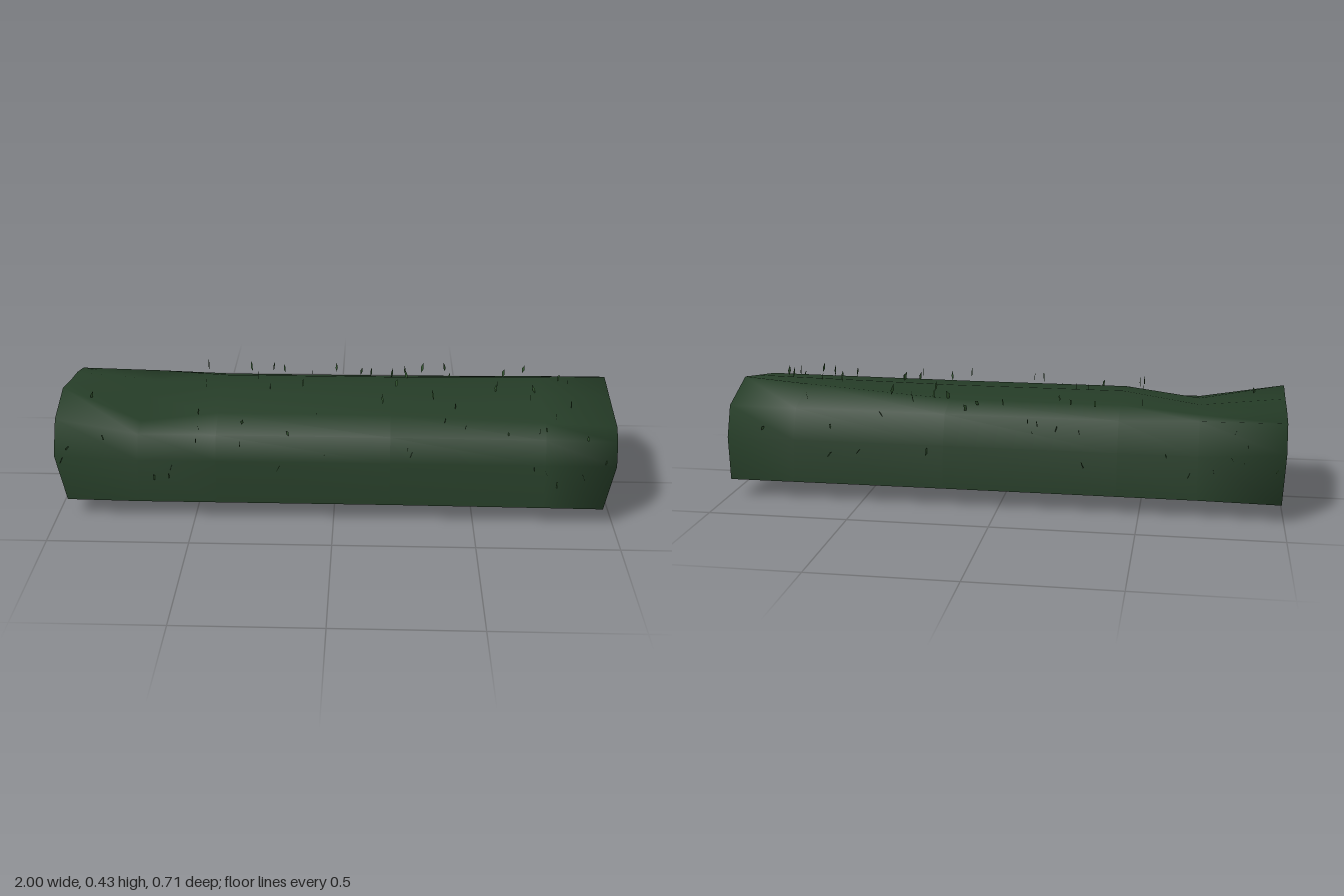
import * as THREE from 'three';

const foliage = new THREE.MeshStandardMaterial({ color: 0x253c27, side: THREE.DoubleSide });
foliage.name = 'hedge green';
const leafGreen = new THREE.MeshStandardMaterial({ color: 0x33552f, side: THREE.DoubleSide });
leafGreen.name = 'leaf green';
const bark = new THREE.MeshStandardMaterial({ color: 0x62544a });
bark.name = 'bark brown';

// Cross-sections as [z, y], running from the front foot over the top to the back foot
const leftEnd = [[0.33, 0.065], [0.3, 0.22], [0.275, 0.305], [0.235, 0.345], [0.06, 0.375], [-0.08, 0.4], [-0.25, 0.33], [-0.29, 0.22], [-0.305, 0.065]];
const middle = [[0.322, 0.065], [0.3, 0.22], [0.265, 0.305], [0.18, 0.353], [0, 0.377], [-0.15, 0.36], [-0.245, 0.325], [-0.285, 0.22], [-0.3, 0.065]];
const rightEnd = [[0.315, 0.065], [0.295, 0.23], [0.23, 0.345], [0.08, 0.4], [-0.04, 0.378], [-0.15, 0.365], [-0.25, 0.34], [-0.29, 0.24], [-0.31, 0.065]];

const blend = (a, b, t) => a.map(([z, y], j) => [z + (b[j][0] - z) * t, y + (b[j][1] - y) * t]);
const dip = middle.map(([z, y]) => [z, y > 0.31 ? 0.335 - Math.max(0, z) * 0.1 : y]);
const sections = [
  [-1, rightEnd], [-0.7, dip], [-0.42, middle], [0.2, middle],
  [0.75, blend(middle, leftEnd, 0.65)], [1, leftEnd],
].map(([x, profile]) => profile.map(([z, y], j) => {
  // the feet of both end walls are drawn in a little
  const inset = Math.abs(x) < 1 ? 0 : j === 0 ? 0.04 : j === 8 ? 0.01 : 0;
  return new THREE.Vector3(x - Math.sign(x) * inset, y, z);
}));

let seed = 7;
function random(min, max) {
  seed = (seed * 16807) % 2147483647;
  return min + (max - min) * (seed / 2147483647);
}

// Hollow shell with closed ends and an open underside
function hedgeShell() {
  const n = middle.length;
  const points = sections.flat();
  const index = [];
  for (let i = 0; i < sections.length - 1; i++) {
    for (let j = 0; j < n - 1; j++) {
      const a = i * n + j, b = a + n;
      index.push(a, b, a + 1, b, b + 1, a + 1);
    }
  }
  // end walls fan out from a centre point
  [0, sections.length - 1].forEach((i) => {
    const centre = points.length;
    points.push(new THREE.Vector3(i ? 0.995 : -0.995, 0.2, 0));
    for (let j = 0; j < n; j++) {
      const a = i * n + j, b = i * n + (j + 1) % n;
      if (i) index.push(centre, b, a);
      else index.push(centre, a, b);
    }
  });
  const geometry = new THREE.BufferGeometry().setFromPoints(points);
  geometry.setIndex(index);
  geometry.computeVertexNormals();
  const mesh = new THREE.Mesh(geometry, foliage);
  mesh.name = 'hedgeShell';
  return mesh;
}

// Loose diamond leaves standing out of the surface, mostly facing along the hedge
function leaves() {
  const group = new THREE.Group();
  group.name = 'leaves';
  const outline = new THREE.Shape([[0, 0], [0.011, 0.019], [0, 0.044], [-0.011, 0.021]].map(([x, y]) => new THREE.Vector2(x, y)));
  const geometry = new THREE.ShapeGeometry(outline);
  const axisX = new THREE.Vector3(1, 0, 0);
  for (let k = 0; k < 84; k++) {
    const x = random(-0.97, 0.97);
    const i = Math.max(0, sections.findIndex((s) => s[4].x > x) - 1);
    const j = k % 8;
    const u = (x - sections[i][4].x) / (sections[i + 1][4].x - sections[i][4].x);
    const low = sections[i][j].clone().lerp(sections[i + 1][j], u);
    const high = sections[i][j + 1].clone().lerp(sections[i + 1][j + 1], u);
    const v = j === 0 ? random(0.6, 1) : j === 7 ? random(0, 0.4) : random(0, 1);
    const out = high.clone().sub(low).cross(axisX).negate().normalize();
    const leaf = new THREE.Mesh(geometry, leafGreen);
    leaf.position.copy(low.lerp(high, v)).addScaledVector(out, random(-0.012, 0.022));
    // local y points outwards, local z along the hedge
    const side = new THREE.Vector3().crossVectors(out, axisX).normalize();
    leaf.quaternion.setFromRotationMatrix(new THREE.Matrix4().makeBasis(side, out, axisX));
    leaf.rotateY(random(-0.6, 0.6));
    leaf.rotateZ(random(-0.7, 0.7));
    leaf.scale.setScalar(random(0.75, 1.05));
    leaf.name = 'leaf';
    group.add(leaf);
  }
  return group;
}

// Thin tapered stems that carry the hedge
function stems() {
  const group = new THREE.Group();
  group.name = 'stems';
  const up = new THREE.Vector3(0, 1, 0);
  // foot x, foot z, lean in z
  [[-0.69, 0.05, 0.03], [-0.56, -0.02, 0.1], [-0.44, 0.03, 0.02], [-0.065, 0.03, -0.06], [0.185, 0.05, 0.02],
    [0.44, -0.02, -0.08], [0.575, 0.03, 0.01], [0.69, 0.02, -0.05], [0.81, -0.02, 0.09], [0.93, 0.03, -0.04]].forEach(([x, z, lean], k) => {
    const foot = new THREE.Vector3(x, 0.003, z);
    const tip = new THREE.Vector3(x + (k % 2 ? -0.03 : 0.03), 0.22 + 0.03 * (k % 3), z + lean);
    const axis = tip.clone().sub(foot);
    const stem = new THREE.Mesh(new THREE.CylinderGeometry(0.003, 0.007, axis.length(), 5), bark);
    stem.position.copy(foot).lerp(tip, 0.5);
    stem.quaternion.setFromUnitVectors(up, axis.normalize());
    stem.name = 'stem';
    group.add(stem);
  });
  return group;
}

export function createModel() {
  const model = new THREE.Group();
  model.name = 'hedge';
  model.add(hedgeShell(), leaves(), stems());
  return model;
}
